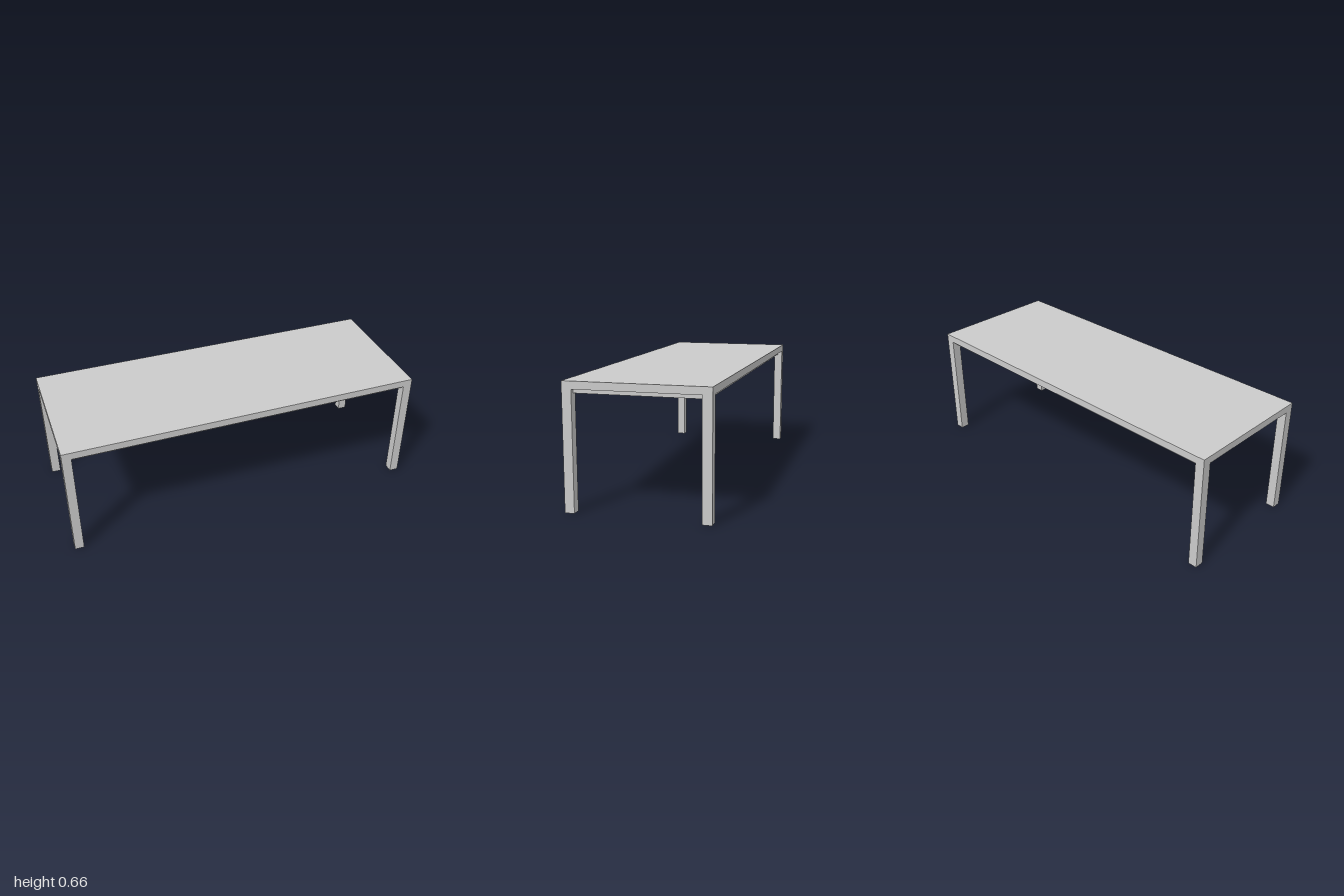
import * as THREE from 'three';

export function createModel() {
  const group = new THREE.Group();
  const material = new THREE.MeshStandardMaterial({ color: 0xcccccc });

  const W = 2, D = 0.747, H = 0.657;   // overall size
  const leg = 0.05;                    // square leg section
  const under = 0.617;                 // underside of the top
  const railBottom = 0.595, railInset = 0.025, railThick = 0.02;

  function box(name, w, h, d, x, y, z) {
    const mesh = new THREE.Mesh(new THREE.BoxGeometry(w, h, d), material);
    mesh.name = name;
    mesh.position.set(x, y, z);
    group.add(mesh);
  }

  // Flat top, flush with the legs
  box('tableTop', W, H - under, D, 0, (H + under) / 2, 0);

  // Four square legs in the corners
  for (const sx of [-1, 1]) {
    for (const sz of [-1, 1]) {
      const name = (sz > 0 ? 'front' : 'back') + (sx > 0 ? 'Left' : 'Right') + 'Leg';
      box(name, leg, under, leg, sx * (W - leg) / 2, under / 2, sz * (D - leg) / 2);
    }
  }

  // Thin rails set back behind the edge of the top, running between the legs
  const railH = under - railBottom, railY = (under + railBottom) / 2;
  const offset = railInset + railThick / 2;
  for (const s of [-1, 1]) {
    box(s > 0 ? 'frontRail' : 'backRail', W - 2 * leg, railH, railThick, 0, railY, s * (D / 2 - offset));
    box(s > 0 ? 'leftRail' : 'rightRail', railThick, railH, D - 2 * leg, s * (W / 2 - offset), railY, 0);
  }

  return group;
}
